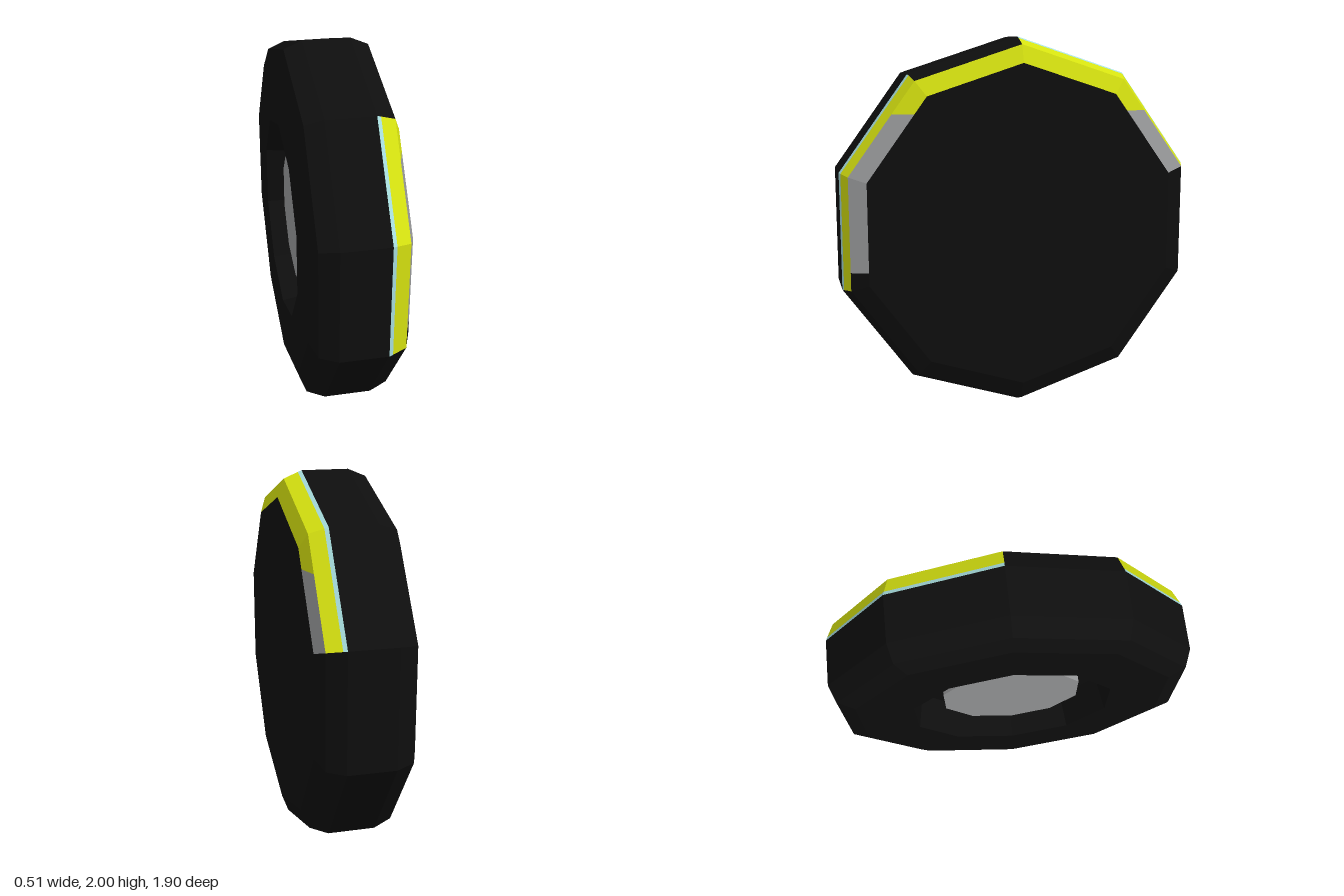
import * as THREE from 'three';

const SIDES = 10;
const STEP = (Math.PI * 2) / SIDES;

const mat = (name, color) => {
  const m = new THREE.MeshStandardMaterial({ color });
  m.name = name;
  return m;
};

// Point on a ring [x, radius] at corner k (0 = top, positive towards the front)
const corner = ([x, r], k) =>
  new THREE.Vector3(x, 1 + r * Math.cos(k * STEP), r * Math.sin(k * STEP));

// Two triangles, with flat normals once the geometry is built
const quad = (list, a, b, c, d) => {
  for (const p of [a, b, c, a, c, d]) list.push(p.x, p.y, p.z);
};

// One facet of the band between rings p and q
const facet = (list, p, q, k) =>
  quad(list, corner(p, k), corner(p, k + 1), corner(q, k + 1), corner(q, k));

// Facet split by a horizontal line: one list gets the part above, one the part below
const splitFacet = (above, below, p, q, k, y) => {
  const cut = (ring) => {
    const a = corner(ring, k), b = corner(ring, k + 1);
    return a.clone().lerp(b, (y - a.y) / (b.y - a.y));
  };
  const pc = cut(p), qc = cut(q);
  const first = corner(p, k).y > corner(p, k + 1).y ? above : below;
  const second = first === above ? below : above;
  quad(first, corner(p, k), pc, qc, corner(q, k));
  quad(second, pc, corner(p, k + 1), corner(q, k + 1), qc);
};

// Facets all the way round a profile
const revolve = (list, profile) => {
  for (let i = 0; i < profile.length - 1; i++)
    for (let k = 0; k < SIDES; k++) facet(list, profile[i], profile[i + 1], k);
};

const build = (name, list, material) => {
  const g = new THREE.BufferGeometry();
  g.setAttribute('position', new THREE.Float32BufferAttribute(list, 3));
  g.computeVertexNormals();
  const mesh = new THREE.Mesh(g, material);
  mesh.name = name;
  return mesh;
};

export function createModel() {
  const black = mat('rubberBlack', 0x0e0e0e);
  const yellow = mat('stripeYellow', 0xd4e010);
  const blue = mat('paleBlue', 0xa6dcdc);
  const grey = mat('metalGrey', 0x999a9b);

  const tyre = [], stripe = [], edge = [], panel = [], hub = [];

  // Tyre: recess on the right, sidewall, shoulder and tread
  const tread = [0.125, 1], line = [0.145, 0.992], shoulder = [0.22, 0.96], rim = [0.255, 0.865];
  revolve(tyre, [
    [-0.07, 0], [-0.07, 0.52], [-0.255, 0.55], [-0.255, 0.865],
    [-0.22, 0.96], [-0.125, 1], tread,
  ]);
  revolve(tyre, [rim, [0.255, 0]]); // flat left face

  // Left shoulder: yellow stripe with a pale blue edge on four facets
  const striped = [-2, -1, 1, 2];
  for (let k = -5; k < 5; k++) {
    const on = striped.includes(k);
    facet(on ? edge : tyre, tread, line, k);
    facet(on ? stripe : tyre, line, shoulder, k);
  }

  // Left bevel: yellow over the top, grey lower down, black for the rest
  for (let k = -5; k < 5; k++) {
    if (k === -1 || k === 0) facet(stripe, shoulder, rim, k);
    else if (k === -2 || k === 1) splitFacet(stripe, panel, shoulder, rim, k, 1.61);
    else if (k === 2) splitFacet(panel, tyre, shoulder, rim, k, 0.8);
    else facet(tyre, shoulder, rim, k);
  }

  // Hub standing in the recess
  revolve(hub, [[-0.178, 0], [-0.178, 0.385], [-0.07, 0.385]]);

  const wheel = new THREE.Group();
  wheel.name = 'wheel';
  wheel.add(
    build('tyre', tyre, black),
    build('yellowStripe', stripe, yellow),
    build('stripeEdge', edge, blue),
    build('greyPanels', panel, grey),
    build('hub', hub, grey),
  );
  return wheel;
}
